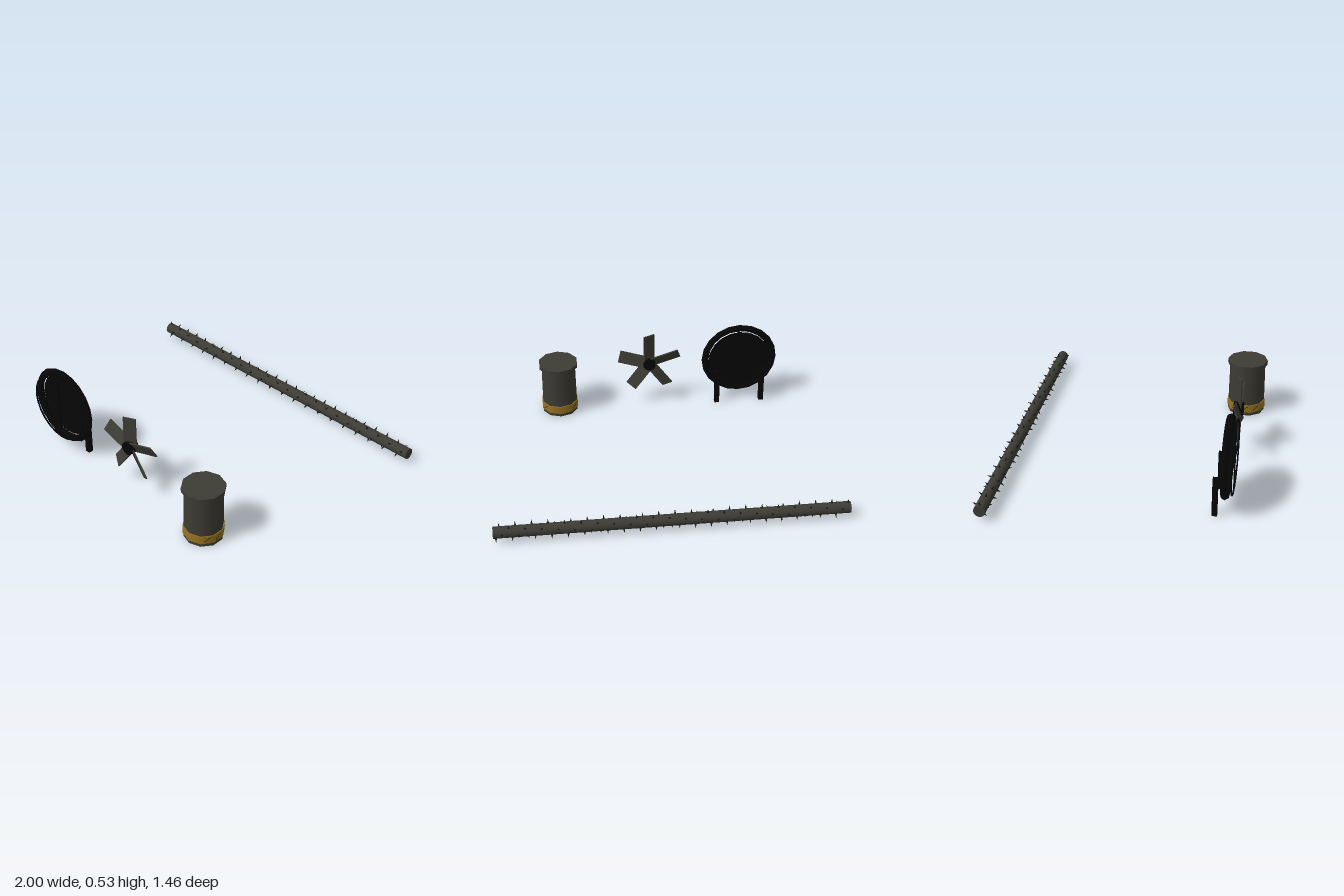
import * as THREE from 'three';

const paint = (name, color) => {
  const m = new THREE.MeshStandardMaterial({ color });
  m.name = name;
  return m;
};

export function createModel() {
  const steel = paint('dark olive steel', 0x3d3c34);
  const black = paint('black iron', 0x060606);
  const spikeMat = paint('spike metal', 0x1c1c18);
  const gold = paint('worn yellow', 0x987422);

  const model = new THREE.Group();
  model.name = 'machineParts';

  const group = (name, x, y, z) => {
    const g = new THREE.Group();
    g.name = name;
    g.position.set(x, y, z);
    model.add(g);
    return g;
  };
  const add = (parent, name, geometry, material, x = 0, y = 0, z = 0) => {
    const mesh = new THREE.Mesh(geometry, material);
    mesh.name = name;
    mesh.position.set(x, y, z);
    parent.add(mesh);
    return mesh;
  };

  // Long spiked roller along x
  const roller = group('spikedRoller', 0, 0.062, -0.676);
  add(roller, 'rollerBar', new THREE.CylinderGeometry(0.034, 0.034, 2, 12), steel).rotation.z = Math.PI / 2;
  const spikeGeo = new THREE.ConeGeometry(0.0075, 0.028, 5);
  const count = 110;
  for (let i = 0; i < count; i++) {
    const a = (i * 9 * Math.PI * 2) / 22;
    const x = -0.985 + (1.97 * i) / (count - 1);
    const spike = add(roller, 'spike', spikeGeo, spikeMat, x, Math.cos(a) * 0.043, Math.sin(a) * 0.043);
    spike.rotation.x = a;
  }

  // Ring stand: back plate inside the ring, wire guard in front, two legs behind
  const stand = group('ringStand', -0.572, 0.288, 0.609);
  add(stand, 'ring', new THREE.TorusGeometry(0.216, 0.022, 6, 20), black);
  add(stand, 'backPlate', new THREE.CylinderGeometry(0.195, 0.195, 0.006, 20), black, 0, 0, -0.016)
    .rotation.x = Math.PI / 2;
  add(stand, 'wireGuard', new THREE.TorusGeometry(0.208, 0.005, 6, 24), black, 0, 0, 0.038);
  add(stand, 'guardBarUpright', new THREE.BoxGeometry(0.01, 0.416, 0.008), black, 0, 0, 0.038);
  add(stand, 'guardBarLevel', new THREE.BoxGeometry(0.416, 0.01, 0.008), black, 0, 0, 0.038);
  for (const s of [-1, 1]) {
    add(stand, 'leg', new THREE.BoxGeometry(0.03, 0.23, 0.03), black, s * 0.143, 0.115 - 0.288, -0.05);
  }

  // Five-bladed fan with pitched flat blades
  const fan = group('fan', 0, 0.288, 0.609);
  add(fan, 'hub', new THREE.CylinderGeometry(0.04, 0.04, 0.058, 10), black).rotation.x = Math.PI / 2;
  for (let i = 0; i < 5; i++) {
    const arm = new THREE.Group();
    arm.name = 'bladeArm';
    arm.rotation.z = (i * Math.PI * 2) / 5;
    fan.add(arm);
    add(arm, 'blade', new THREE.BoxGeometry(0.076, 0.18, 0.008), steel, 0, 0.108, 0).rotation.y = 0.44;
  }

  // Ten-sided drum with lid and band
  const drum = group('drum', 0.573, 0, 0.609);
  add(drum, 'drumBody', new THREE.CylinderGeometry(0.109, 0.113, 0.32, 10), steel, 0, 0.16, 0);
  add(drum, 'drumLid', new THREE.CylinderGeometry(0.123, 0.123, 0.026, 10), steel, 0, 0.324, 0);
  add(drum, 'drumBand', new THREE.CylinderGeometry(0.117, 0.117, 0.05, 10), gold, 0, 0.046, 0);

  // Fine slanted scratches on the band's left and right faces
  const apothem = 0.117 * Math.cos(Math.PI / 10);
  for (const i of [1, 2, 3, 6, 7, 8]) {
    const side = new THREE.Group();
    side.name = 'bandSide';
    side.rotation.y = ((i + 0.5) * Math.PI) / 5;
    drum.add(side);
    add(side, 'bandScratch', new THREE.BoxGeometry(0.003, 0.046, 0.001), black, 0, 0.046, apothem)
      .rotation.z = -0.9;
  }

  return model;
}
